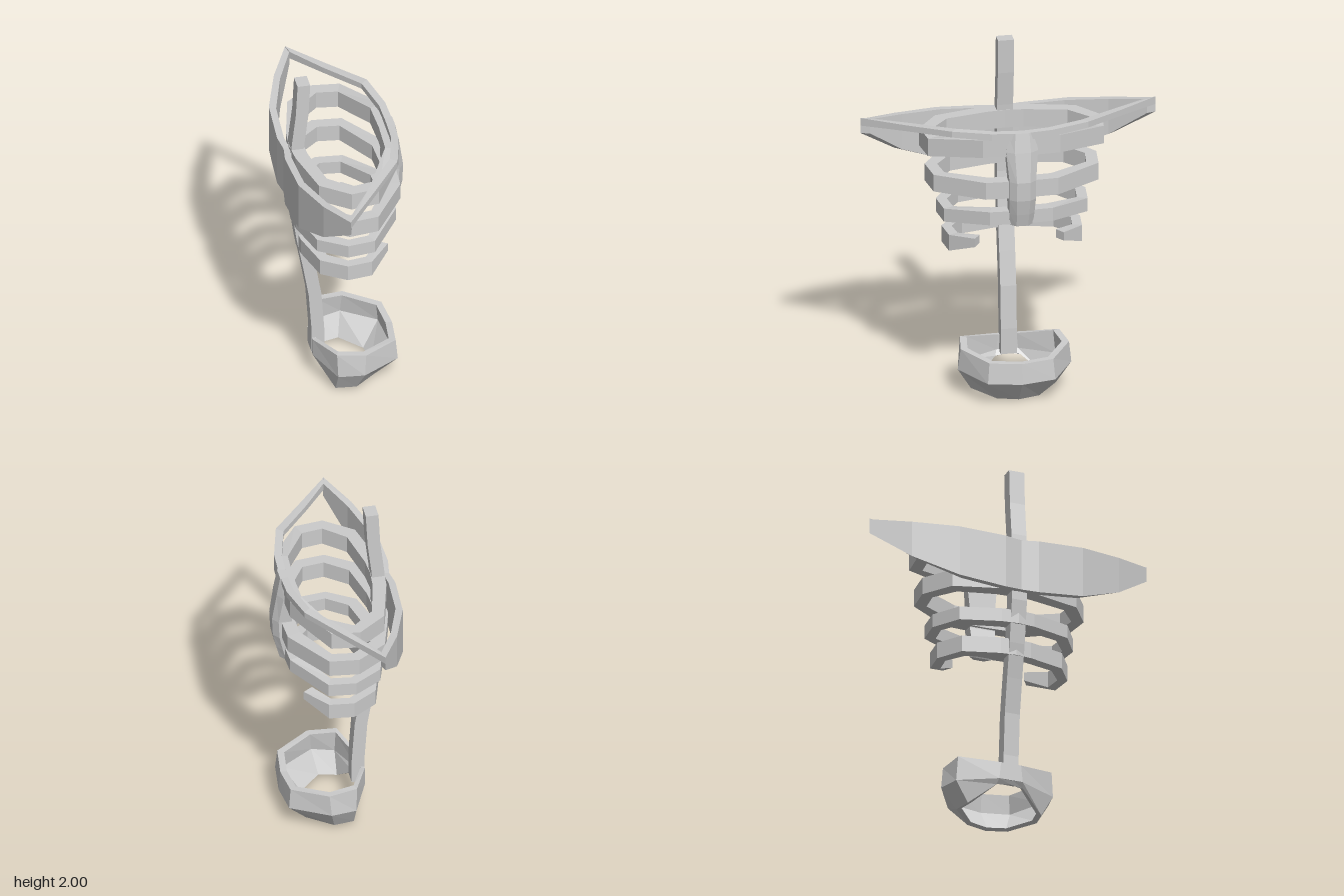
import * as THREE from 'three';

const material = new THREE.MeshStandardMaterial({ color: 0xcccccc, flatShading: true, side: THREE.DoubleSide });

// Skins a row of equal cross-sections; closed joins last to first, otherwise the ends are capped.
function loft(name, sections, closed = false) {
  const n = sections.length, m = sections[0].length;
  const tris = [];
  const add = (a, b, c) => tris.push([a, b, c]);
  for (let i = 0; i < (closed ? n : n - 1); i++) {
    const s = sections[i], t = sections[(i + 1) % n];
    for (let j = 0; j < m; j++) {
      const k = (j + 1) % m;
      add(s[j], t[j], t[k]);
      add(s[j], t[k], s[k]);
    }
  }
  if (!closed) {
    const a = sections[0], b = sections[n - 1];
    for (let j = 1; j < m - 1; j++) {
      add(a[0], a[j], a[j + 1]);
      add(b[0], b[j + 1], b[j]);
    }
  }
  // Turn the faces outward by the sign of the enclosed volume
  const v = (p) => new THREE.Vector3(...p);
  const volume = tris.reduce((sum, [a, b, c]) => sum + v(a).dot(v(b).cross(v(c))), 0);
  const points = tris.flatMap(([a, b, c]) => (volume < 0 ? [a, c, b] : [a, b, c])).flat();
  const geometry = new THREE.BufferGeometry();
  geometry.setAttribute('position', new THREE.Float32BufferAttribute(points, 3));
  geometry.computeVertexNormals();
  const mesh = new THREE.Mesh(geometry, material);
  mesh.name = name;
  return mesh;
}

const flip = (section) => section.map(([x, y, z]) => [x, y, -z]);
// Half a loop from back centre to front centre becomes the full loop
const fullLoop = (half) => [...half, ...half.slice(1, -1).reverse().map(flip)];
// A half from the centre outward becomes a band from side to side
const fullBand = (half) => [...half.slice(1).reverse().map(flip), ...half];

// Upright rectangular section, with its inner wall nearer the middle
const wall = (x, z, low, high, kx = 0.74, kz = 0.86) =>
  [[x, low, z], [x, high, z], [x * kx, high, z * kz], [x * kx, low, z * kz]];

export function createModel() {
  const model = new THREE.Group();

  // Spine: square bar bending forward at the bottom
  const spine = [[-0.145, 0.15], [-0.145, 0.3], [-0.162, 0.55], [-0.195, 0.75], [-0.232, 0.95],
    [-0.265, 1.2], [-0.27, 1.4], [-0.258, 1.6], [-0.235, 1.8], [-0.225, 2]];
  model.add(loft('spine', spine.map(([x, y]) => [
    [x - 0.036, y, -0.045], [x + 0.036, y, -0.045], [x + 0.036, y, 0.045], [x - 0.036, y, 0.045],
  ])));

  // Ribs: three closed hoops rising towards the breastbone
  const outline = [[-0.3, 0], [-0.29, 0.12], [-0.22, 0.4], [-0.06, 0.52], [0.1, 0.5], [0.275, 0.22], [0.285, 0]];
  const ribs = new THREE.Group();
  ribs.name = 'ribs';
  const hoops = [
    { name: 'upperRib', sx: 1, sz: 0.99, y: 1.515, h: 0.105, rise: 0.04 },
    { name: 'middleRib', sx: 1.04, sz: 0.93, y: 1.3, h: 0.1, rise: 0.005 },
    { name: 'lowerRib', sx: 0.97, sz: 0.81, y: 1.1, h: 0.078, rise: 0.03 },
  ];
  for (const { name, sx, sz, y, h, rise } of hoops) {
    const half = outline.map(([x, z], i) => {
      const mid = y + (i > 4 ? rise : 0);
      return wall(x * sx, z * sz, mid - h / 2, mid + h / 2);
    });
    ribs.add(loft(name, fullLoop(half), true));
  }

  // Lowest rib, open at the front with thin tips
  const floating = outline.slice(0, 5).map(([x, z]) => wall(x * 0.87, z * 0.75, 0.88, 0.975));
  floating.push(wall(0.205, 0.25, 0.94, 0.99));
  ribs.add(loft('floatingRib', fullBand(floating)));
  model.add(ribs);

  // Breastbone: [y, outer x, inner x, half width]
  const breastbone = [[1.085, 0.295, 0.265, 0.065], [1.16, 0.315, 0.22, 0.07], [1.25, 0.335, 0.235, 0.075],
    [1.36, 0.34, 0.235, 0.075], [1.53, 0.315, 0.24, 0.09], [1.64, 0.295, 0.25, 0.08]];
  model.add(loft('breastbone', breastbone.map(([y, out, inn, w]) => [
    [inn, y, -w], [out - 0.03, y, -w], [out, y, -w * 0.5], [out, y, w * 0.5], [out - 0.03, y, w], [inn, y, w],
  ])));

  // Shoulder blade band around the back: [x, z, low, high]
  const blade = [[-0.33, 0, 1.25, 1.55], [-0.345, 0.1, 1.245, 1.555], [-0.33, 0.37, 1.275, 1.57],
    [-0.245, 0.62, 1.38, 1.59], [-0.135, 0.83, 1.53, 1.615]];
  model.add(loft('shoulderBlades', fullBand(blade.map(([x, z, a, b]) => wall(x, z, a, b, 0.89, 0.94)))));

  // Collarbones from the shoulder tips to the breastbone
  const collar = [
    wall(-0.135, 0.83, 1.575, 1.62, 0.89, 0.93),
    wall(0.05, 0.605, 1.6, 1.635, 0.5, 0.94),
    wall(0.23, 0.385, 1.62, 1.655, 0.84, 0.92),
    wall(0.285, 0.17, 1.605, 1.645, 0.86, 0.9),
    wall(0.29, 0.04, 1.6, 1.64, 0.86, 0.9),
  ];
  model.add(loft('leftCollarbone', collar), loft('rightCollarbone', collar.map(flip)));

  // Pelvis: bowl-shaped ring, each station as top, middle and bottom [x, y, z]
  const pelvis = [
    [[-0.18, 0.25, 0], [-0.18, 0.155, 0], [-0.165, 0.13, 0]],
    [[-0.18, 0.25, 0.06], [-0.18, 0.15, 0.07], [-0.16, 0.12, 0.08]],
    [[-0.09, 0.285, 0.28], [-0.085, 0.14, 0.29], [-0.085, 0.015, 0.22]],
    [[0.07, 0.275, 0.305], [0.06, 0.15, 0.32], [0.03, 0.02, 0.24]],
    [[0.265, 0.26, 0.18], [0.275, 0.14, 0.19], [0.165, 0.005, 0.12]],
    [[0.285, 0.25, 0], [0.295, 0.13, 0], [0.19, 0, 0]],
  ].map(([top, mid, low]) => {
    const inward = ([x, y, z], k, lift) => [x * k, y + lift, z * k];
    return [top, mid, low, inward(low, 0.88, 0.01), inward(mid, 0.88, 0.01), inward(top, 0.87, 0)];
  });
  model.add(loft('pelvis', fullLoop(pelvis), true));

  return model;
}
